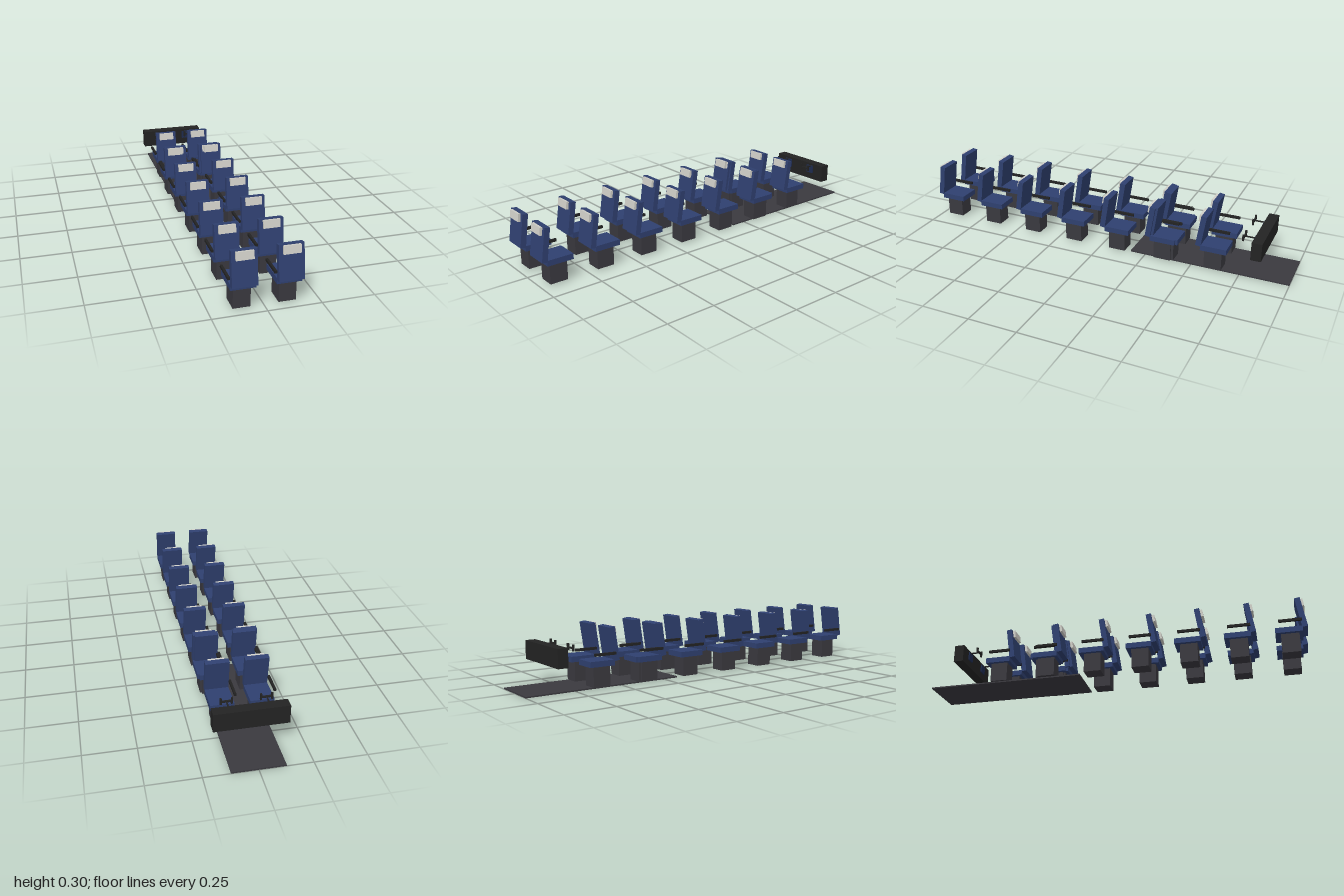
import * as THREE from 'three';

const mat = (name, color) => {
  const m = new THREE.MeshStandardMaterial({ color });
  m.name = name;
  return m;
};

export function createModel() {
  const blue = mat('blue upholstery', 0x2f4070);
  const grey = mat('dark grey', 0x3a393f);
  const black = mat('black', 0x232323);
  const cream = mat('headrest cream', 0xd0cfc8);
  const navy = mat('screen navy', 0x1f2c50);

  const model = new THREE.Group();
  model.name = 'seatRows';

  const box = (parent, name, material, w, h, d, x, y, z) => {
    const mesh = new THREE.Mesh(new THREE.BoxGeometry(w, h, d), material);
    mesh.name = name;
    mesh.position.set(x, y, z);
    parent.add(mesh);
    return mesh;
  };

  // One seat facing -z; its origin is below the rearmost point of the back
  const addSeat = (name, x, z) => {
    const seat = new THREE.Group();
    seat.name = name;
    seat.position.set(x, 0, z);
    box(seat, 'base', grey, 0.08, 0.101, 0.09, 0, 0.0575, -0.089);
    box(seat, 'cushion', blue, 0.115, 0.028, 0.134, 0, 0.122, -0.093);
    box(seat, 'armrest', black, 0.011, 0.013, 0.115, -0.0645, 0.168, -0.083);

    // Tilted back with its head pad
    const back = new THREE.Group();
    back.name = 'back';
    back.position.set(0, 0.2115, -0.0262);
    back.rotation.x = -0.15;
    box(back, 'backrest', blue, 0.115, 0.165, 0.028, 0, 0, 0);
    box(back, 'headrest', cream, 0.08, 0.038, 0.014, 0, 0.061, 0.02);
    seat.add(back);
    model.add(seat);
  };

  const pitch = 0.252;
  for (const side of [-1, 1]) {
    for (let i = 0; i < 6; i++) addSeat('passengerSeat', side * 0.104, 1 - i * pitch);
    // Front seats sit slightly closer to the centre line
    for (let i = 0; i < 2; i++) addSeat('frontSeat', side * 0.095, -0.273 - i * pitch);
  }

  // Floor and instrument panel
  box(model, 'floor', grey, 0.25, 0.007, 0.83, 0, 0.0035, -0.585);
  box(model, 'instrumentPanel', black, 0.351, 0.093, 0.052, 0, 0.1715, -0.836);

  // Screens and control yokes
  for (const side of [-1, 1]) {
    box(model, 'screen', navy, 0.046, 0.044, 0.006, side * 0.085, 0.184, -0.807);
    const yoke = new THREE.Group();
    yoke.name = 'controlYoke';
    yoke.position.set(side * 0.093, 0.204, -0.755);
    const column = new THREE.Mesh(new THREE.CylinderGeometry(0.004, 0.004, 0.06, 8), black);
    column.name = 'column';
    column.rotation.x = Math.PI / 2;
    column.position.z = -0.028;
    yoke.add(column);
    box(yoke, 'crossbar', black, 0.06, 0.008, 0.008, 0, 0, 0);
    for (const s of [-1, 1]) box(yoke, 'grip', black, 0.009, 0.032, 0.009, s * 0.026, 0.002, 0);
    model.add(yoke);
  }

  return model;
}
